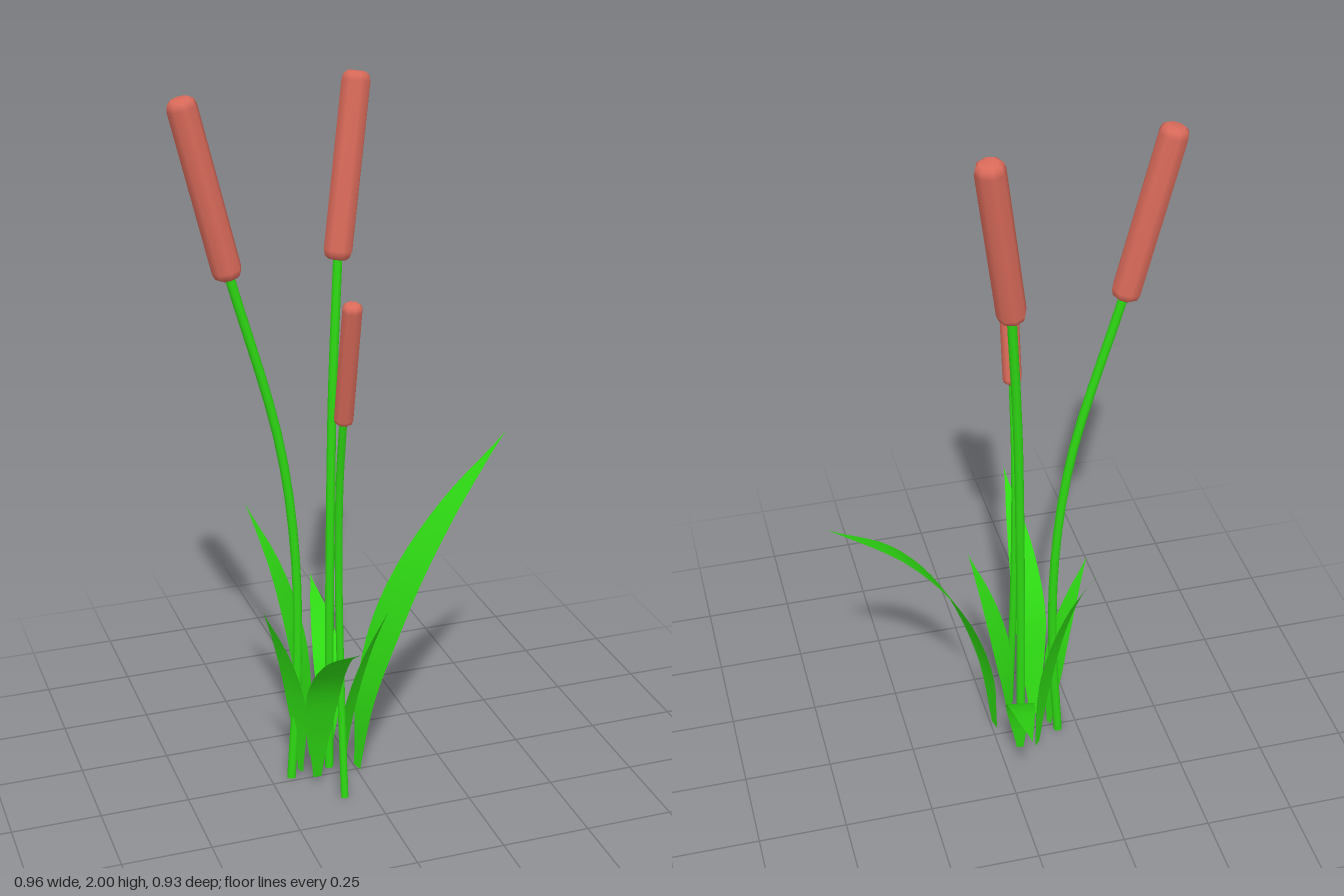
import * as THREE from 'three';

const green = new THREE.MeshStandardMaterial({ color: 0x2ed813 });
const leafGreen = new THREE.MeshStandardMaterial({ color: 0x2ed813, side: THREE.DoubleSide });
const brown = new THREE.MeshStandardMaterial({ color: 0xd96a5a });

const curveThrough = (points) =>
  new THREE.CatmullRomCurve3(points.map((p) => new THREE.Vector3(...p)));

// Stem: thin bent tube, closed at the foot by a small disc
function makeStem(points, radius) {
  const stem = new THREE.Group();
  stem.name = 'stem';
  const tube = new THREE.Mesh(
    new THREE.TubeGeometry(curveThrough(points), 16, radius, 8), green);
  tube.name = 'stemTube';
  const foot = new THREE.Mesh(new THREE.CircleGeometry(radius, 8), green);
  foot.name = 'stemFoot';
  foot.rotation.x = Math.PI / 2;
  foot.position.set(...points[0]);
  stem.add(tube, foot);
  return stem;
}

// Seed head: eight-sided rod with rounded ends between two points
function makeHead(from, to, radius) {
  const a = new THREE.Vector3(...from);
  const axis = new THREE.Vector3(...to).sub(a);
  const h = axis.length();
  const r = radius;
  const profile = [
    [0, 0], [0.6 * r, 0], [0.88 * r, 0.2 * r], [r, 0.6 * r],
    [r, h - 0.6 * r], [0.88 * r, h - 0.2 * r], [0.6 * r, h], [0, h],
  ].map(([x, y]) => new THREE.Vector2(x, y));
  const head = new THREE.Mesh(new THREE.LatheGeometry(profile, 8), brown);
  head.name = 'seedHead';
  head.position.copy(a);
  head.quaternion.setFromUnitVectors(new THREE.Vector3(0, 1, 0), axis.normalize());
  return head;
}

// Blade width along its length, as a share of the greatest width
const bladeWidth = new THREE.SplineCurve(
  [[0, 0.25], [0.2, 0.68], [0.4, 1], [0.6, 0.88], [0.8, 0.5], [1, 0]]
    .map(([x, y]) => new THREE.Vector2(x, y)));

// Leaf: flat ribbon swept along a curve, spread level across its heading
function makeLeaf(points, width) {
  const curve = curveThrough(points);
  const first = curve.getPoint(0);
  const last = curve.getPoint(1);
  const side = new THREE.Vector3(last.z - first.z, 0, first.x - last.x).normalize();
  const steps = 20;
  const positions = [];
  const index = [];
  for (let i = 0; i <= steps; i++) {
    const t = i / steps;
    const p = curve.getPointAt(t);
    const half = (width / 2) * bladeWidth.getPoint(t).y;
    for (const s of [-1, 1]) {
      positions.push(p.x + s * half * side.x, p.y, p.z + s * half * side.z);
    }
    if (i < steps) {
      const k = i * 2;
      index.push(k, k + 1, k + 2);
      if (i < steps - 1) index.push(k + 1, k + 3, k + 2);
    }
  }
  const geometry = new THREE.BufferGeometry();
  geometry.setAttribute('position', new THREE.Float32BufferAttribute(positions, 3));
  geometry.setIndex(index);
  geometry.computeVertexNormals();
  const leaf = new THREE.Mesh(geometry, leafGreen);
  leaf.name = 'leaf';
  return leaf;
}

const reeds = [
  { // tall, leaning right
    path: [[-0.19, 0, -0.02], [-0.165, 0.35, -0.03], [-0.165, 0.7, -0.04], [-0.205, 1.03, -0.04], [-0.335, 1.52, -0.04]],
    stemRadius: 0.013, from: [-0.333, 1.505, -0.04], to: [-0.448, 1.98, -0.04], headRadius: 0.04,
  },
  { // tall, leaning left and back
    path: [[-0.07, 0, -0.04], [-0.067, 0.4, -0.04], [-0.06, 0.8, -0.045], [-0.048, 1.15, -0.058], [-0.022, 1.53, -0.085]],
    stemRadius: 0.013, from: [-0.025, 1.513, -0.083], to: [0.05, 1.995, -0.14], headRadius: 0.04,
  },
  { // short, leaning forward
    path: [[-0.08, 0, 0.13], [-0.08, 0.3, 0.103], [-0.082, 0.68, 0.09], [-0.087, 0.95, 0.115], [-0.092, 1.17, 0.165]],
    stemRadius: 0.011, from: [-0.091, 1.148, 0.16], to: [-0.096, 1.5, 0.25], headRadius: 0.027,
  },
];

const leaves = [
  // left
  { width: 0.135, path: [[-0.005, 0.02, 0.02], [0.025, 0.27, 0.018], [0.12, 0.54, 0.01], [0.27, 0.76, -0.025], [0.48, 0.95, -0.1]] },
  // back
  { width: 0.08, path: [[-0.055, 0.02, -0.09], [-0.045, 0.15, -0.11], [-0.035, 0.25, -0.15], [-0.017, 0.33, -0.25], [0.013, 0.41, -0.465]] },
  // front
  { width: 0.095, path: [[-0.13, 0.02, 0.035], [-0.137, 0.2, 0.08], [-0.14, 0.36, 0.14], [-0.143, 0.5, 0.26], [-0.147, 0.635, 0.465]] },
  // back right
  { width: 0.1, path: [[-0.108, 0.02, -0.088], [-0.118, 0.2, -0.1], [-0.14, 0.4, -0.125], [-0.185, 0.6, -0.165], [-0.252, 0.78, -0.225]] },
  // right
  { width: 0.075, path: [[-0.165, 0.02, -0.01], [-0.172, 0.17, -0.003], [-0.19, 0.3, 0.008], [-0.23, 0.44, 0.027], [-0.287, 0.58, 0.057]] },
  // front left
  { width: 0.08, path: [[-0.06, 0.02, 0.05], [-0.052, 0.17, 0.06], [-0.035, 0.3, 0.08], [-0.003, 0.44, 0.112], [0.04, 0.58, 0.155]] },
];

export function createModel() {
  const model = new THREE.Group();
  model.name = 'reedClump';
  for (const r of reeds) {
    const reed = new THREE.Group();
    reed.name = 'reed';
    reed.add(makeStem(r.path, r.stemRadius), makeHead(r.from, r.to, r.headRadius));
    model.add(reed);
  }
  for (const l of leaves) model.add(makeLeaf(l.path, l.width));
  return model;
}
